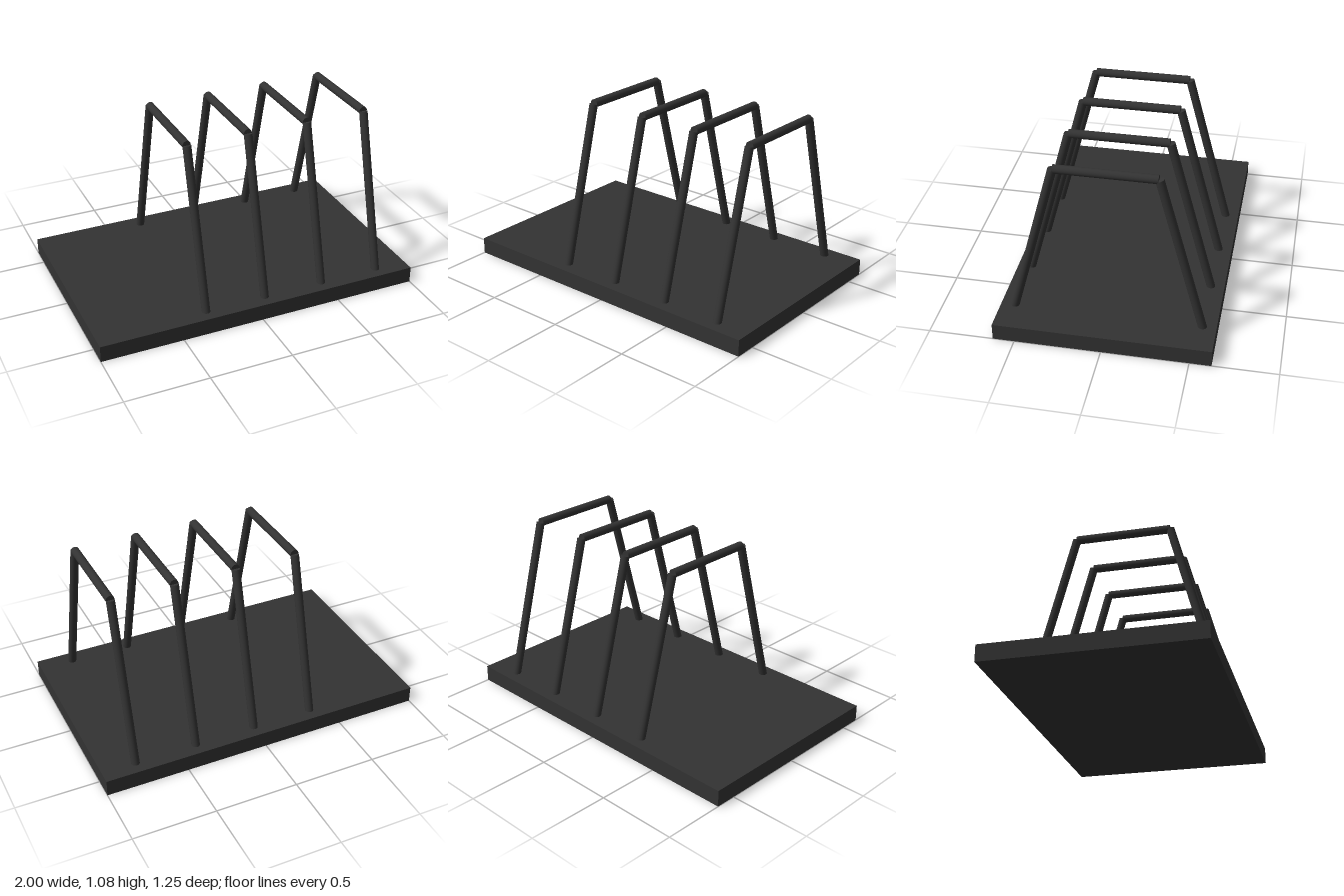
import * as THREE from 'three';

const RADIUS = 0.025;

// Round rod with flat ends between two points
function rod(name, from, to, material) {
  const axis = to.clone().sub(from);
  const mesh = new THREE.Mesh(
    new THREE.CylinderGeometry(RADIUS, RADIUS, axis.length(), 32), material);
  mesh.name = name;
  mesh.position.copy(from).add(to).multiplyScalar(0.5);
  mesh.quaternion.setFromUnitVectors(new THREE.Vector3(0, 1, 0), axis.normalize());
  return mesh;
}

export function createModel() {
  const model = new THREE.Group();
  model.name = 'rack';
  const material = new THREE.MeshStandardMaterial({ color: 0x333333 });

  // Flat base board
  const base = new THREE.Mesh(new THREE.BoxGeometry(2, 0.1, 1.25), material);
  base.name = 'base';
  base.position.y = 0.05;
  model.add(base);

  // Four divider hoops, set toward the left side
  for (let i = 0; i < 4; i++) {
    const hoop = new THREE.Group();
    hoop.name = `divider${i + 1}`;
    hoop.position.x = -0.33 + i * 0.375;

    // Legs lean inward, with their feet sunk into the base
    for (const side of [1, -1]) {
      hoop.add(rod(side > 0 ? 'frontLeg' : 'backLeg',
        new THREE.Vector3(0, 0.084, side * 0.548),
        new THREE.Vector3(0, 1.05, side * 0.289), material));
    }

    // Bar across the top
    hoop.add(rod('topBar',
      new THREE.Vector3(0, 1.052, -0.286),
      new THREE.Vector3(0, 1.052, 0.286), material));
    model.add(hoop);
  }
  return model;
}
